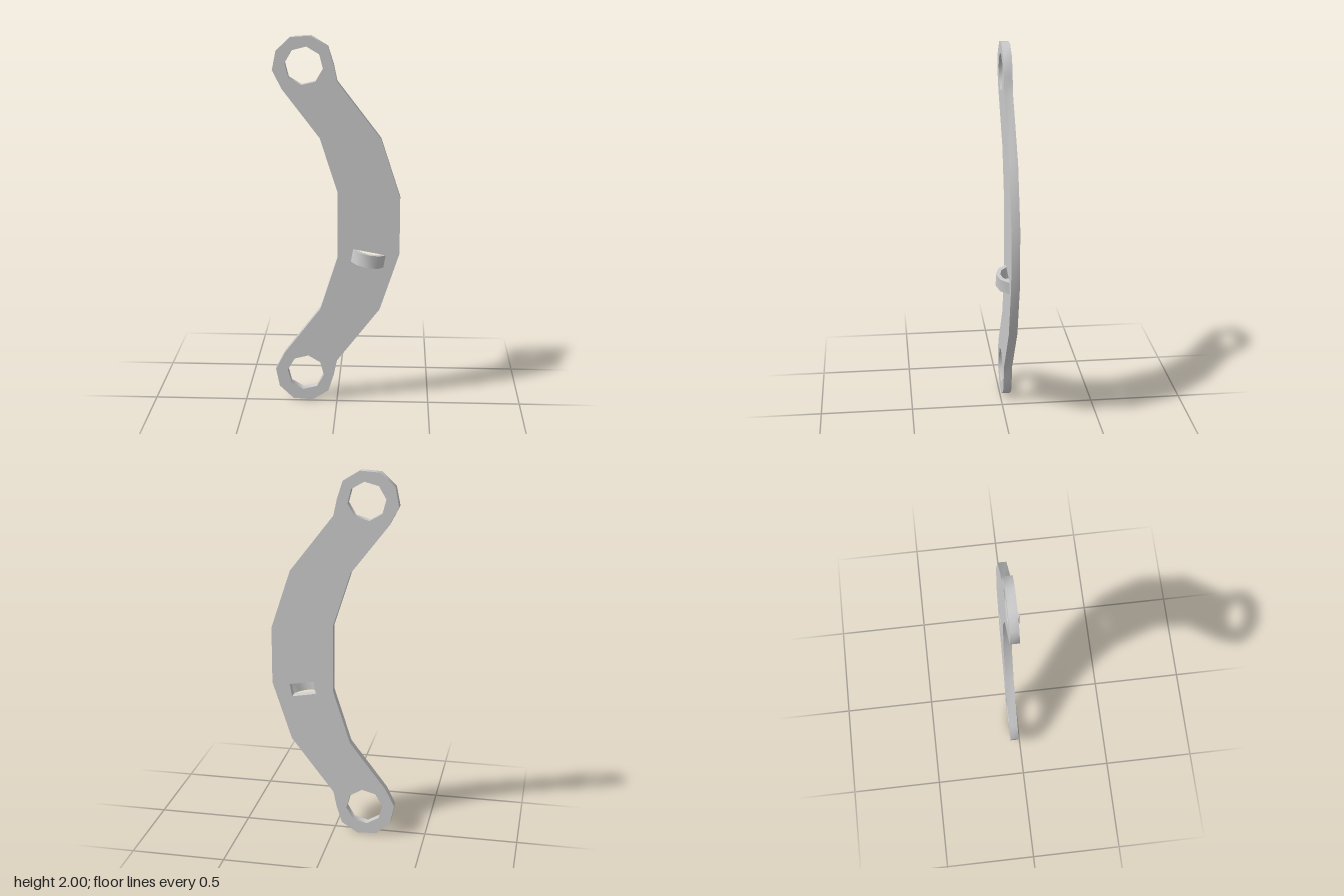
import * as THREE from 'three';
import { toCreasedNormals } from 'three/addons/utils/BufferGeometryUtils.js';

const points = list => list.map(([x, y]) => new THREE.Vector2(x, y));

// Extrudes a flat shape and keeps only the sharper edges hard
function slab(shape, depth) {
  const geometry = new THREE.ExtrudeGeometry(shape, { depth, bevelEnabled: false });
  return toCreasedNormals(geometry, 0.85);
}

export function createModel() {
  const group = new THREE.Group();
  const material = new THREE.MeshStandardMaterial({ color: 0xcccccc });

  const back = -0.055, front = -0.01;
  const loopX = 0.167, loopY = 0.82, tilt = -0.18, loopWidth = 0.07;

  // Upper half of the curved plate, from the outer bend round the eye to the inner bend
  const upper = [
    [0.333, 1.153], [0.23, 1.467], [0.0, 1.767], [-0.017, 1.85], [-0.047, 1.945],
    [-0.135, 2.0], [-0.24, 1.993], [-0.315, 1.922], [-0.335, 1.823],
    [-0.285, 1.725], [-0.09, 1.47], [0.003, 1.18],
  ];
  const lower = upper.map(([x, y]) => [x, 2 - y]).reverse();
  const plateShape = new THREE.Shape(points([...upper, ...lower]));

  // Octagonal eyes at both ends
  for (const y of [1.846, 0.16]) {
    const eye = [];
    for (let i = 0; i < 8; i++) {
      const a = -0.14 + i * Math.PI / 4;
      eye.push([-0.171 + 0.1 * Math.cos(a), y + 0.1 * Math.sin(a)]);
    }
    plateShape.holes.push(new THREE.Path(points(eye)));
  }

  // Tilted slot through the plate behind the loop
  const slot = points([[-0.066, -0.035], [0.066, -0.035], [0.066, 0.035], [-0.066, 0.035]]);
  slot.forEach(p => p.rotateAround(new THREE.Vector2(), tilt).add(new THREE.Vector2(loopX, loopY)));
  plateShape.holes.push(new THREE.Path(slot));

  const plate = new THREE.Mesh(slab(plateShape, front - back), material);
  plate.name = 'curvedPlate';
  plate.position.z = back;
  group.add(plate);

  // Faceted arch standing on the front of the plate
  const archShape = new THREE.Shape(points([
    [0.088, 0], [0.057, 0.044], [0, 0.062], [-0.057, 0.044], [-0.088, 0],
    [-0.066, 0], [-0.036, 0.03], [0, 0.039], [0.036, 0.03], [0.066, 0],
  ]));
  const archGeometry = slab(archShape, loopWidth);
  archGeometry.translate(0, 0, -loopWidth / 2).rotateX(Math.PI / 2);
  const loop = new THREE.Mesh(archGeometry, material);
  loop.name = 'strapLoop';
  loop.position.set(loopX, loopY, front);
  loop.rotation.z = tilt;
  group.add(loop);

  return group;
}
